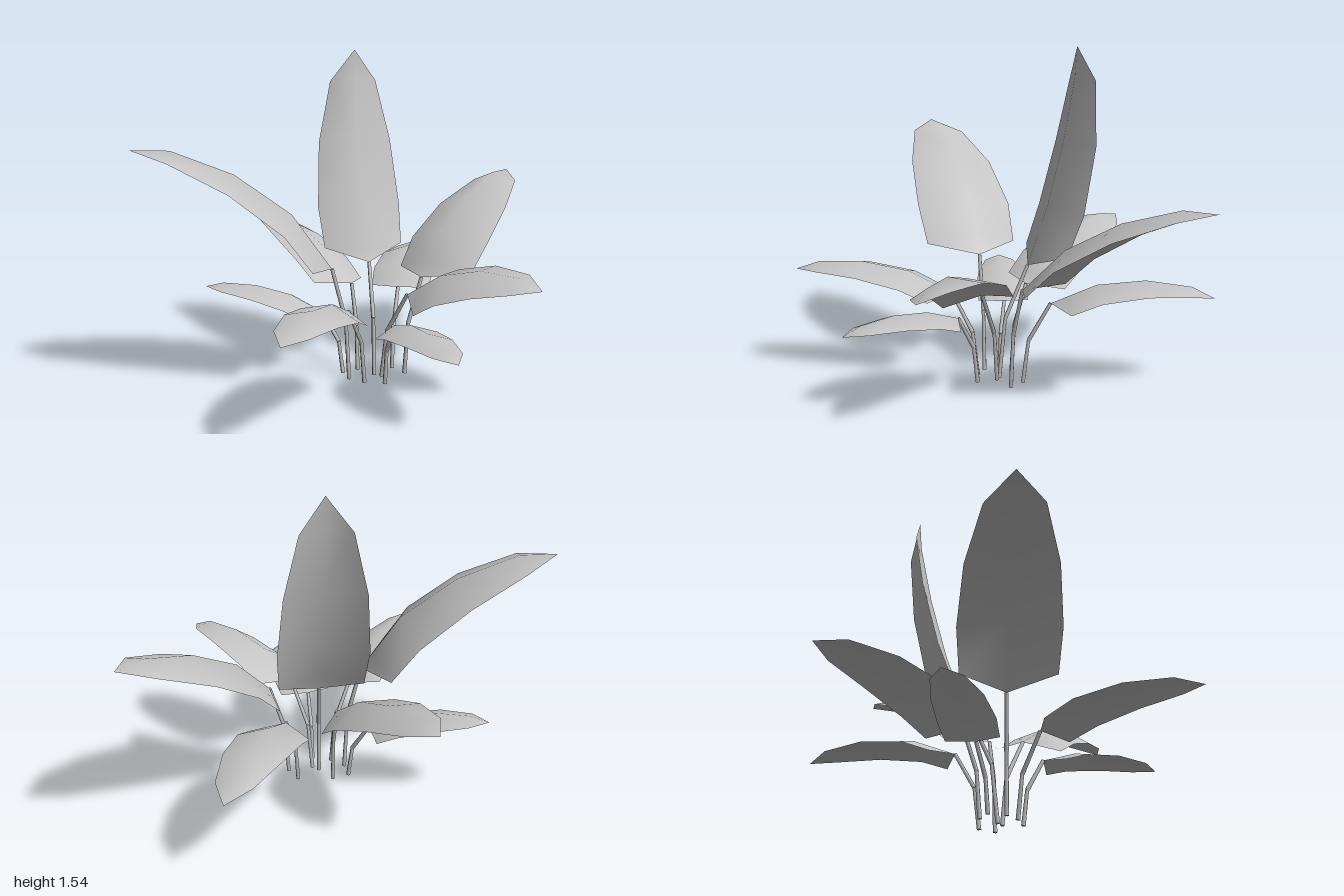
import * as THREE from 'three';

const leafMat = new THREE.MeshStandardMaterial({ color: 0xc4c4c4, side: THREE.DoubleSide });
leafMat.name = 'paleGrey';

const UP = new THREE.Vector3(0, 1, 0);
// Rib: [share of the chord, share of the arch height]
const RIB = [[0, 0], [0.28, 0.85], [0.58, 1], [0.86, 0.62], [1, 0]];
// Outline: [position in rib steps, share of the half width]
const OUTLINE = [[0.31, 0.93], [1, 0.99], [2, 0.87], [3, 0.55]];

// Stem foot (x, z), leaf base and tip (x, y, z), arch height, half width, roll about the rib
const LEAVES = [
  { name: 'leftLargeLeaf', foot: [-0.02, 0.05], base: [-0.1, 0.55, 0.04], tip: [-1, 1.13, -0.06], arch: 0.147, width: 0.24, roll: -0.06 },
  { name: 'tallLeaf', foot: [0.11, 0.03], base: [0.12, 0.53, -0.11], tip: [0.11, 1.54, -0.365], arch: -0.04, width: 0.212, roll: 0 },
  { name: 'backLeftLeaf', foot: [0.05, -0.06], base: [0.04, 0.42, -0.14], tip: [-0.3, 0.655, -0.835], arch: 0.087, width: 0.175, roll: -0.15 },
  { name: 'backRightLeaf', foot: [0.22, -0.04], base: [0.28, 0.38, -0.15], tip: [0.585, 0.4, -0.84], arch: 0.095, width: 0.155, roll: 0 },
  { name: 'rightLargeLeaf', foot: [0.26, 0.04], base: [0.345, 0.475, 0.025], tip: [1, 0.88, -0.535], arch: 0.112, width: 0.222, roll: 0.08 },
  { name: 'frontRightLeaf', foot: [0.14, 0.055], base: [0.23, 0.44, 0.17], tip: [0.69, 0.56, 0.65], arch: 0.1, width: 0.177, roll: -0.27 },
  { name: 'frontSmallLeaf', foot: [0.13, 0.15], base: [0.14, 0.32, 0.25], tip: [0.25, 0.33, 0.825], arch: 0.06, width: 0.133, roll: 0 },
  { name: 'frontLeftLeaf', foot: [0.04, 0.11], base: [-0.06, 0.39, 0.2], tip: [-0.49, 0.475, 0.838], arch: 0.085, width: 0.142, roll: 0.12 },
  { name: 'backSmallLeaf', foot: [-0.03, -0.035], base: [-0.12, 0.3, -0.1], tip: [-0.655, 0.405, -0.31], arch: 0.06, width: 0.132, roll: 0 },
];

// Arched sheet whose side edges fold down from the rib
function leafGeometry(base, tip, arch, width, roll) {
  const chord = tip.clone().sub(base).normalize();
  const flatSide = chord.clone().cross(UP).normalize();
  const lift = flatSide.clone().cross(chord);
  const rib = RIB.map(([f, a]) => base.clone().lerp(tip, f).addScaledVector(lift, a * arch));
  const points = [base];

  for (const [step, share] of OUTLINE) {
    const i = Math.floor(step);
    const mid = rib[i].clone().lerp(rib[i + 1], step - i);
    const along = rib[i + 1].clone().sub(rib[Math.max(i - 1, 0)]).normalize();
    const side = flatSide.clone().applyAxisAngle(along, -roll);
    const normal = side.clone().cross(along).normalize();
    const w = width * share;
    const edge = (sign) => mid.clone().addScaledVector(side, sign * w).addScaledVector(normal, -0.36 * w);
    points.push(edge(-1), mid, edge(1));
  }
  points.push(tip);

  const last = points.length - 1;
  const index = [0, 2, 1, 0, 3, 2];
  for (let a = 1; a < last - 3; a++) {
    if (a % 3) index.push(a, a + 1, a + 3, a + 1, a + 4, a + 3);
  }
  index.push(last - 3, last - 2, last, last - 2, last - 1, last);

  const geometry = new THREE.BufferGeometry().setFromPoints(points);
  geometry.setIndex(index);
  geometry.computeVertexNormals();
  return geometry;
}

// One straight length of stem
function stemPiece(from, to) {
  const mesh = new THREE.Mesh(new THREE.CylinderGeometry(0.009, 0.0105, from.distanceTo(to), 6), leafMat);
  mesh.position.copy(from).lerp(to, 0.5);
  mesh.quaternion.setFromUnitVectors(UP, to.clone().sub(from).normalize());
  mesh.name = 'stem';
  return mesh;
}

export function createModel() {
  const plant = new THREE.Group();
  plant.name = 'leafyPlant';
  for (const { name, foot, base, tip, arch, width, roll } of LEAVES) {
    const group = new THREE.Group();
    group.name = name;
    const start = new THREE.Vector3(foot[0], 0, foot[1]);
    const end = new THREE.Vector3(...base);
    // The stem rises steeply, then leans out to the leaf
    const bend = start.clone().lerp(end, 0.2).setY(end.y * 0.53);
    const blade = new THREE.Mesh(leafGeometry(end, new THREE.Vector3(...tip), arch, width, roll), leafMat);
    blade.name = 'leafBlade';
    group.add(blade, stemPiece(start, bend), stemPiece(bend, end));
    plant.add(group);
  }
  return plant;
}
